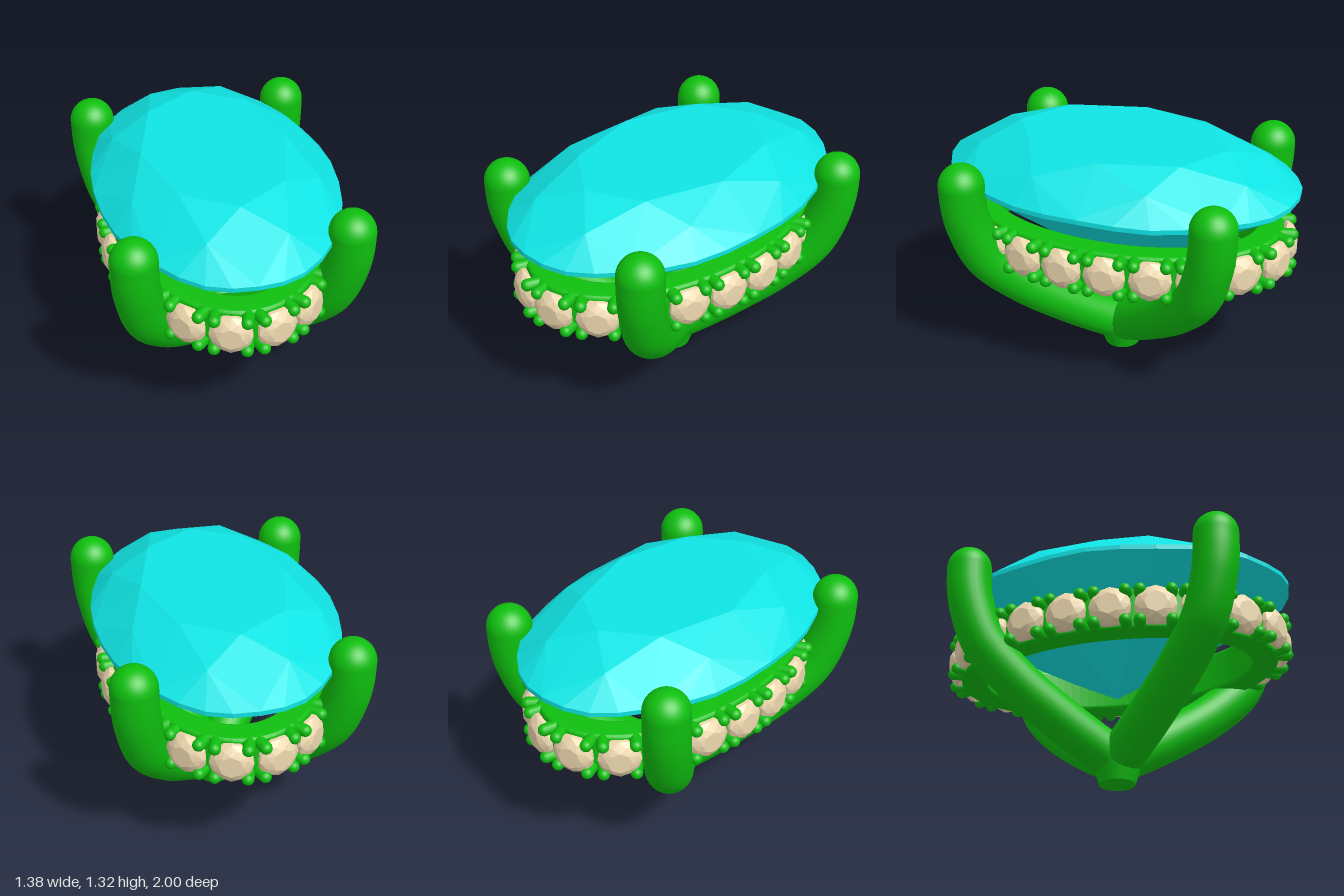
import * as THREE from 'three';

const metal = new THREE.MeshStandardMaterial({ color: 0x0fbf0f });
const blue = new THREE.MeshStandardMaterial({ color: 0x10e4e4, flatShading: true });
const cream = new THREE.MeshStandardMaterial({ color: 0xeed9b0, flatShading: true });

// Brilliant cut: eight-fold crown and pavilion facets on an oval girdle
function brilliant({ rx, rz, table, top, girdle, thick, culet, sides }) {
  const pos = [];
  const per = sides / 8;
  const P = (r, k, y) => [rx * r * Math.sin(k * Math.PI / 4), y, rz * r * Math.cos(k * Math.PI / 4)];
  const tri = (a, b, c) => pos.push(...a, ...b, ...c);
  const quad = (a, b, c, d) => { tri(a, b, c); tri(a, c, d); };
  const half = Math.cos(Math.PI / 8);
  const wave = j => 0.25 * thick * Math.cos(j / per * 2 * Math.PI);
  const up = j => P(1, j / per, girdle + thick / 2 + wave(j));
  const low = j => P(1, j / per, girdle - thick / 2 + wave(j));
  const kr = table + (1 - table) * 0.56;
  const ky = top - (kr * half - table) / (1 - table) * (top - girdle - thick / 2);
  const T = k => P(table, k, top);
  const K = k => P(kr, k + 0.5, ky);
  const L = k => P(0.3, k + 0.5, culet + (girdle - thick / 2 - culet) * 0.3 * half);
  const C = [0, culet, 0];
  for (let k = 0; k < 8; k++) {
    tri([0, top, 0], T(k), T(k + 1));                  // table
    tri(T(k), K(k), T(k + 1));                         // star
    quad(T(k), K(k - 1), up(k * per), K(k));           // kite
    quad(low(k * per), L(k - 1), C, L(k));             // pavilion main
    for (let j = k * per; j < (k + 1) * per; j++) {
      tri(K(k), up(j), up(j + 1));                     // upper half
      quad(up(j), low(j), low(j + 1), up(j + 1));      // girdle
      tri(L(k), low(j + 1), low(j));                   // lower half
    }
  }
  const g = new THREE.BufferGeometry();
  g.setAttribute('position', new THREE.Float32BufferAttribute(pos, 3));
  g.computeVertexNormals();
  return g;
}

function add(parent, name, geometry, material, x = 0, y = 0, z = 0) {
  const m = new THREE.Mesh(geometry, material);
  m.name = name;
  m.position.set(x, y, z);
  parent.add(m);
  return m;
}

export function createModel() {
  const model = new THREE.Group();
  model.name = 'ovalGemSetting';

  // Large oval centre stone
  add(model, 'centreStone', brilliant({
    rx: 0.665, rz: 1, table: 0.6, top: 1.32, girdle: 1.1, thick: 0.026, culet: 0.51, sides: 32,
  }), blue);

  // Four curved claws meeting at the base: [x, y], with z in proportion
  const profile = [[0, 0.14], [0.1, 0.225], [0.21, 0.33], [0.365, 0.5], [0.495, 0.7], [0.548, 0.9], [0.563, 1.02], [0.567, 1.145]];
  const tip = new THREE.SphereGeometry(0.125, 32, 20);
  for (const sx of [1, -1]) for (const sz of [1, -1]) {
    const claw = new THREE.Group();
    claw.name = (sz > 0 ? 'front' : 'back') + (sx > 0 ? 'Left' : 'Right') + 'Claw';
    const path = new THREE.CatmullRomCurve3(
      profile.map(([x, y]) => new THREE.Vector3(sx * x, y, sz * x * 1.235)));
    add(claw, 'clawStem', new THREE.TubeGeometry(path, 48, 0.125, 28), metal);
    add(claw, 'clawTip', tip, metal, sx * 0.567, 1.145, sz * 0.7);
    model.add(claw);
  }
  add(model, 'base', new THREE.CylinderGeometry(0.14, 0.1, 0.12, 32), metal, 0, 0.06, 0);
  add(model, 'baseCore', new THREE.SphereGeometry(0.13, 32, 20), metal, 0, 0.14, 0);

  // Oval rail around the stone
  const oval = (Type, a, b) => {
    const s = new Type();
    s.absellipse(0, 0, a, b, 0, Math.PI * 2, false);
    return s;
  };
  const shape = oval(THREE.Shape, 0.555, 0.895);
  shape.holes.push(oval(THREE.Path, 0.46, 0.79));
  const railGeo = new THREE.ExtrudeGeometry(shape, {
    depth: 0.2, bevelEnabled: true, bevelSize: 0.022, bevelThickness: 0.022, bevelSegments: 4, curveSegments: 48,
  });
  railGeo.rotateX(-Math.PI / 2);
  add(model, 'rail', railGeo, metal, 0, 0.675, 0);

  // Twenty small stones around the rail, each held by four beads
  const stoneGeo = brilliant({
    rx: 0.114, rz: 0.114, table: 0.55, top: 0.05, girdle: 0, thick: 0.02, culet: -0.07, sides: 16,
  });
  const beadGeo = new THREE.CapsuleGeometry(0.033, 0.06, 6, 14);
  const a = 0.6, b = 0.94, count = 20;
  const ring = new THREE.EllipseCurve(0, 0, a, b);
  for (let i = 0; i < count; i++) {
    const p = ring.getPointAt((i + 0.5) / count);
    const unit = new THREE.Group();
    unit.name = 'railStone' + (i + 1);
    unit.position.set(p.x, 0.775, p.y);
    unit.rotation.y = Math.atan2(p.x / (a * a), p.y / (b * b));
    add(unit, 'smallStone', stoneGeo, cream).rotation.x = Math.PI / 2;
    for (const sx of [1, -1]) for (const sy of [1, -1])
      add(unit, 'bead', beadGeo, metal, sx * 0.085, sy * 0.09, -0.012).rotation.x = Math.PI / 2;
    model.add(unit);
  }
  return model;
}
